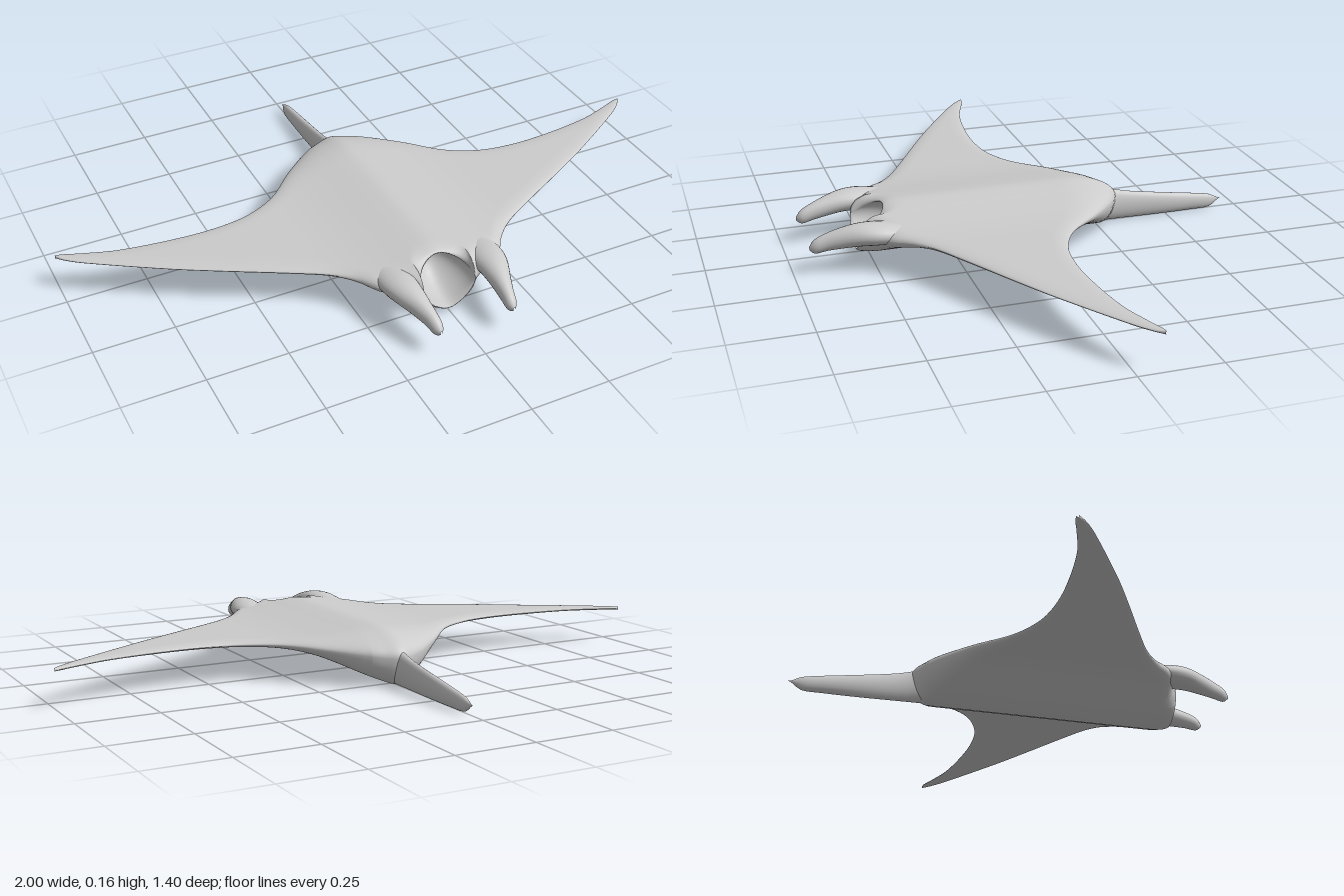
import * as THREE from 'three';

// Smooth interpolation through a table of [position, value, value...] rows
function sample(table, p, col = 1) {
  const last = table.length - 1;
  let k = 0;
  while (k < last - 1 && p > table[k + 1][0]) k++;
  const slope = (i) => {
    if (i === 0 || i === last) return i === 0 ? 0 : (table[i][col] - table[i - 1][col]) / (table[i][0] - table[i - 1][0]);
    return (table[i + 1][col] - table[i - 1][col]) / (table[i + 1][0] - table[i - 1][0]);
  };
  const a = table[k], b = table[k + 1], h = b[0] - a[0];
  const t = Math.min(1, Math.max(0, (p - a[0]) / h)), t2 = t * t, t3 = t2 * t;
  return (2 * t3 - 3 * t2 + 1) * a[col] + (t3 - 2 * t2 + t) * h * slope(k)
    + (3 * t2 - 2 * t3) * b[col] + (t3 - t2) * h * slope(k + 1);
}

// Skin a list of closed cross-sections
function skin(name, rings, material) {
  const n = rings[0].length, index = [];
  for (let i = 0; i < rings.length - 1; i++) {
    for (let j = 0; j < n; j++) {
      const a = i * n + j, b = i * n + (j + 1) % n;
      index.push(a, b, a + n, b, b + n, a + n);
    }
  }
  const geometry = new THREE.BufferGeometry();
  geometry.setAttribute('position', new THREE.Float32BufferAttribute(rings.flat(2), 3));
  geometry.setIndex(index);
  geometry.computeVertexNormals();
  const mesh = new THREE.Mesh(geometry, material);
  mesh.name = name;
  return mesh;
}

// Outline and thickness, by distance from the centre line
const LEAD = [[0, 0.54], [0.085, 0.535], [0.11, 0.515], [0.15, 0.5], [0.2, 0.475], [0.24, 0.42], [0.3, 0.365],
  [0.4, 0.305], [0.59, 0.2], [0.72, 0.125], [0.93, -0.01], [0.98, -0.05], [1, -0.075]];
const TRAIL = [[0, -0.32], [0.05, -0.3], [0.1, -0.27], [0.2, -0.18], [0.3, -0.075], [0.4, -0.02], [0.5, 0], [0.63, 0],
  [0.82, -0.025], [0.93, -0.06], [0.98, -0.079], [1, -0.08]];
const TOP = [[0, 0.164], [0.05, 0.159], [0.1, 0.151], [0.2, 0.137], [0.3, 0.13], [0.5, 0.128], [1, 0.122]];
const BOTTOM = [[0, 0.003], [0.05, 0.018], [0.1, 0.04], [0.15, 0.064], [0.2, 0.085], [0.25, 0.097], [0.32, 0.103],
  [0.5, 0.106], [1, 0.112]];
const MIDDLE = [[0, 0.088], [0.1, 0.098], [0.25, 0.114], [0.4, 0.116], [1, 0.117]];
const MOUTH = 0.086;

// Chordwise section of body and wing, with the mouth hollowed into its front
function bodySection(x) {
  const u = Math.abs(x), N = 40, M = 14;
  const lead = sample(LEAD, u), trail = sample(TRAIL, u);
  const top = sample(TOP, u), bottom = sample(BOTTOM, u), middle = sample(MIDDLE, u);
  const m = Math.sqrt(Math.max(0, 1 - (u / MOUTH) ** 2));
  const chord = lead - trail, centre = Math.exp(-((u / 0.2) ** 2));
  const round = (d, r) => {
    r = Math.min(r, chord / 2);
    return d >= r ? 1 : Math.sqrt(Math.max(0, 1 - (1 - d / r) ** 2));
  };
  const height = (z, front, edge, rBack, rFront) => {
    const f = round(front - z, rFront);
    return middle + (edge - middle) * round(z - trail, rBack) * (f + (1 - f) * m * 0.85);
  };
  const pts = [], lip = lead - 0.09 * m;
  const ease = (t) => (1 - Math.cos(Math.PI * t)) / 2;
  for (let j = 0; j <= N; j++) {
    const z = trail + (lip - trail) * ease(j / N);
    pts.push([x, height(z, lip, top, 0.05 + 0.14 * centre, 0.06), z]);
  }
  const yTop = pts[N][1], yLow = height(lead, lead, bottom, 0.05, 0.05);
  for (let j = 1; j < M; j++) {
    const s = j / M;
    pts.push([x, yTop + (yLow - yTop) * ease(s), lip + (lead - lip) * s - 0.11 * m * Math.sin(Math.PI * s)]);
  }
  for (let j = 0; j < N; j++) {
    const z = lead - chord * ease(j / N);
    pts.push([x, height(z, lead, bottom, 0.05, 0.05), z]);
  }
  return pts;
}

// Oval limb running along z; rows are [z, x, y, half width, half height]
function limb(name, rows, side, material) {
  const rings = [], steps = 28, z0 = rows[0][0], z1 = rows[rows.length - 1][0];
  for (let i = 0; i <= steps; i++) {
    const z = z0 + (z1 - z0) * (1 - Math.cos(Math.PI * i / steps)) / 2;
    const [cx, cy, rx, ry] = [1, 2, 3, 4].map((c) => sample(rows, z, c));
    const ring = [];
    for (let j = 0; j < 24; j++) {
      const a = j / 24 * Math.PI * 2;
      ring.push([side * cx + Math.max(rx, 0.0005) * Math.cos(a), cy + Math.max(ry, 0.0005) * Math.sin(a), z]);
    }
    rings.push(ring);
  }
  return skin(name, rings, material);
}

export function createModel() {
  const group = new THREE.Group();
  group.name = 'mantaRay';
  const material = new THREE.MeshStandardMaterial({ color: 0xcccccc });

  // Body and wings: stations crowd around the mouth and the wing tips
  const half = [];
  for (let i = 0; i <= 16; i++) half.push(MOUTH * Math.sin(i / 16 * Math.PI / 2));
  for (let i = 1; i <= 50; i++) half.push(MOUTH + (1 - MOUTH) * (i / 50));
  half.push(0.99, 0.995);
  half.sort((a, b) => a - b);
  const stations = [...half.slice(1).reverse().map((x) => -x), ...half];
  group.add(skin('bodyAndWings', stations.map(bodySection), material));

  // Tail
  group.add(limb('tail', [
    [-0.7, 0, 0.03, 0, 0], [-0.66, 0, 0.026, 0.011, 0.021], [-0.6, 0, 0.03, 0.015, 0.028],
    [-0.5, 0, 0.037, 0.017, 0.036], [-0.37, 0, 0.048, 0.018, 0.046], [-0.31, 0, 0.056, 0.022, 0.053],
    [-0.25, 0, 0.066, 0.032, 0.062], [-0.15, 0, 0.078, 0.03, 0.07],
  ], 1, material));

  // Head fins beside the mouth
  for (const side of [1, -1]) {
    group.add(limb(side > 0 ? 'leftHeadFin' : 'rightHeadFin', [
      [0.34, 0.16, 0.115, 0.03, 0.012], [0.44, 0.15, 0.117, 0.05, 0.028], [0.5, 0.147, 0.12, 0.052, 0.034],
      [0.55, 0.142, 0.12, 0.044, 0.034], [0.6, 0.133, 0.112, 0.032, 0.032], [0.65, 0.124, 0.1, 0.022, 0.027],
      [0.685, 0.12, 0.088, 0.016, 0.021], [0.7, 0.119, 0.084, 0.003, 0.005],
    ], side, material));
  }
  return group;
}
